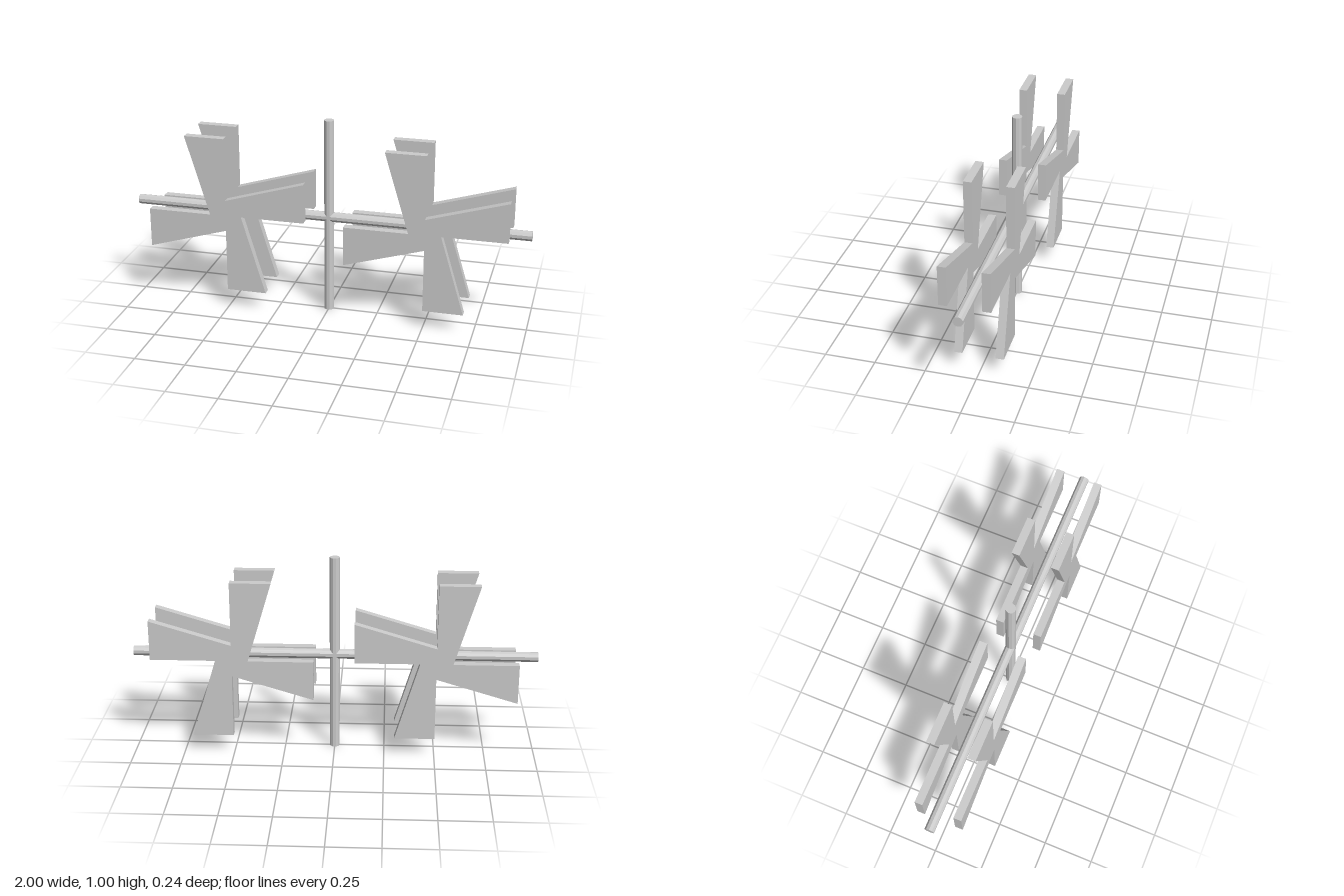
import * as THREE from 'three';

export function createModel() {
  const model = new THREE.Group();
  const material = new THREE.MeshStandardMaterial({ color: 0xcccccc, flatShading: true });

  const add = (geometry, name) => {
    const mesh = new THREE.Mesh(geometry, material);
    mesh.name = name;
    model.add(mesh);
    return mesh;
  };

  // Ten-sided upright post and crossing axle
  const rod = (length) => new THREE.CylinderGeometry(0.025, 0.025, length, 10, 1, false, Math.PI / 2);
  add(rod(1), 'post').position.y = 0.5;
  const axle = add(rod(2), 'axle');
  axle.rotation.z = Math.PI / 2;
  axle.position.y = 0.5;

  // Four-bladed rotor: one blade outline repeated by quarter turns
  const blade = [[-0.08, 0], [-0.2, 0.4], [0, 0.4]];
  const outline = [];
  for (let i = 0; i < 4; i++) {
    for (const [x, y] of blade) {
      outline.push(new THREE.Vector2(x, y).rotateAround(new THREE.Vector2(), -i * Math.PI / 2));
    }
  }
  const rotor = new THREE.ExtrudeGeometry(new THREE.Shape(outline), { depth: 0.04, bevelEnabled: false });
  rotor.translate(0, 0, -0.02);

  // A front and a back rotor on each side of the post
  for (const [side, x] of [['left', 0.5], ['right', -0.5]]) {
    for (const [end, z] of [['Front', 0.1], ['Back', -0.1]]) {
      add(rotor, side + end + 'Rotor').position.set(x, 0.5, z);
    }
  }

  return model;
}
